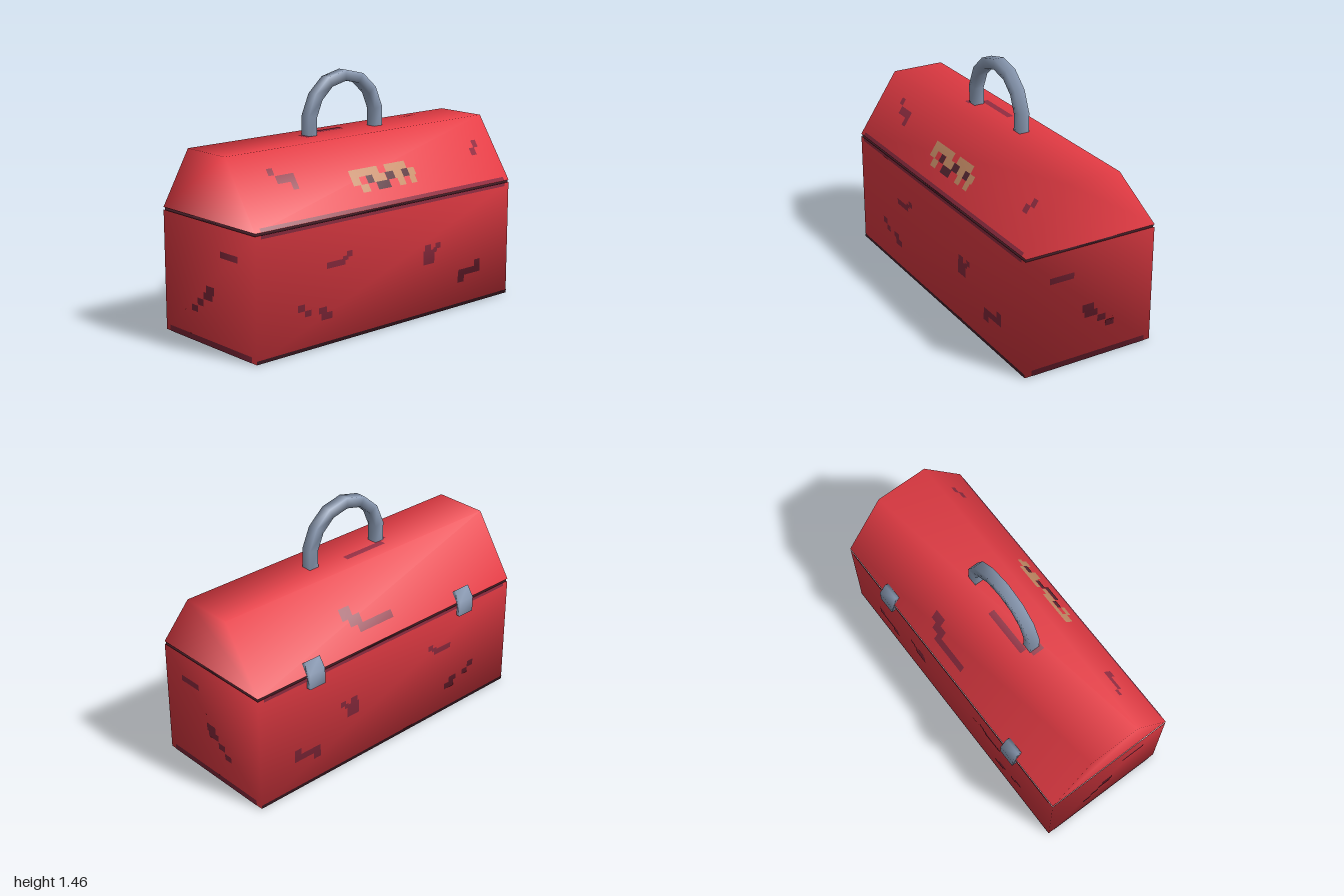
import * as THREE from 'three';
import { mergeGeometries, mergeVertices } from 'three/addons/utils/BufferGeometryUtils.js';

const material = (name, color) => {
  const m = new THREE.MeshStandardMaterial({ color });
  m.name = name;
  return m;
};

const V = (x, y, z) => new THREE.Vector3(x, y, z);

// Extrudes a [z, y] profile along x with smooth normals; the side lying at openY is left open
function prism(profile, width, openY) {
  const shape = new THREE.Shape(profile.map(([z, y]) => new THREE.Vector2(-z, y)));
  let g = new THREE.ExtrudeGeometry(shape, { depth: width, bevelEnabled: false });
  g.translate(0, 0, -width / 2).rotateY(Math.PI / 2);
  g.deleteAttribute('uv');
  g.deleteAttribute('normal');
  g = mergeVertices(g);
  const kept = [];
  for (let i = 0; i < g.index.count; i += 3) {
    const tri = [0, 1, 2].map((k) => g.index.getX(i + k));
    const open = tri.every((v) => Math.abs(g.attributes.position.getY(v) - openY) < 1e-4);
    if (!open) kept.push(...tri);
  }
  g.setIndex(kept);
  g.computeVertexNormals();
  return g;
}

// Polyline path with corners on the tube rings and the section turned to sit square
class Polyline extends THREE.Curve {
  constructor(points) { super(); this.points = points; }
  getPoint(t) {
    const s = t * (this.points.length - 1);
    const i = Math.min(Math.floor(s), this.points.length - 2);
    return this.points[i].clone().lerp(this.points[i + 1], s - i);
  }
  getPointAt(t) { return this.getPoint(t); }
  getTangentAt(t) { return this.getTangent(t); }
  computeFrenetFrames(segments, closed) {
    const frames = super.computeFrenetFrames(segments, closed);
    frames.tangents.forEach((t, i) => {
      frames.normals[i].applyAxisAngle(t, Math.PI / 4);
      frames.binormals[i].applyAxisAngle(t, Math.PI / 4);
    });
    return frames;
  }
}

// Faces that carry paint: origin, u axis, v axis, normal
const slope = 0.25 / 0.375;
const faces = {
  front: [V(0, 0, 0.43), V(1, 0, 0), V(0, 1, 0), V(0, 0, 1)],
  back: [V(0, 0, -0.4), V(-1, 0, 0), V(0, 1, 0), V(0, 0, -1)],
  right: [V(1, 0, 0), V(0, 0, -1), V(0, 1, 0), V(1, 0, 0)],
  left: [V(-1, 0, 0), V(0, 0, 1), V(0, 1, 0), V(-1, 0, 0)],
  top: [V(0, 1.1, 0), V(1, 0, 0), V(0, 0, -1), V(0, 1, 0)],
  bottom: [V(0, 0, 0), V(1, 0, 0), V(0, 0, 1), V(0, -1, 0)],
  lidFront: [V(0, 0, 0.43 + 0.725 * slope), V(1, 0, 0), V(0, 1, -slope), V(0, slope, 1).normalize()],
  lidBack: [V(0, 0, -0.4 - 0.725 * slope), V(-1, 0, 0), V(0, 1, slope), V(0, slope, -1).normalize()],
};

// Thin rectangles [u0, v0, u1, v1] laid on a face, taking the smooth normals of the mesh beneath
function paint(base, face, rects, lift = 0.002) {
  const [origin, u, v, n] = faces[face];
  const matrix = new THREE.Matrix4().makeBasis(u, v, n)
    .setPosition(origin.clone().addScaledVector(n, lift));
  const g = mergeGeometries(rects.map(([a, b, c, d]) =>
    new THREE.PlaneGeometry(c - a, d - b, Math.ceil((c - a) * 6), Math.ceil((d - b) * 6))
      .translate((a + c) / 2, (b + d) / 2, 0).applyMatrix4(matrix)));
  const ray = new THREE.Raycaster();
  const centre = V(0, 0.5, 0.015), down = n.clone().negate(), p = V(0, 0, 0);
  for (let i = 0; i < g.attributes.position.count; i++) {
    p.fromBufferAttribute(g.attributes.position, i).lerp(centre, 0.003).addScaledVector(n, 0.1);
    ray.set(p, down);
    const hit = ray.intersectObject(base)[0];
    if (hit) g.attributes.normal.setXYZ(i, hit.normal.x, hit.normal.y, hit.normal.z);
  }
  return g;
}

const flip = (rects) => rects.map(([a, b, c, d]) => [-c, b, -a, d]);

export function createModel() {
  const red = material('red paint', 0xe43b44);
  const maroon = material('maroon wear', 0x902d41);
  const dark = material('dark seam', 0x552632);
  const tan = material('tan paint', 0xc68c66);
  const lightTan = material('light tan paint', 0xdca070);
  const steel = material('steel', 0x8b9bb4);
  const yellow = material('yellow paint', 0xe6bc38);
  const orange = material('orange paint', 0xe08048);

  const model = new THREE.Group();
  model.name = 'toolbox';
  const add = (name, geometry, mat) => {
    const mesh = new THREE.Mesh(geometry, mat);
    mesh.name = name;
    model.add(mesh);
    return mesh;
  };

  // Box, seam and sloped lid
  const body = add('body', prism([[0.43, 0], [0.43, 0.71], [-0.4, 0.71], [-0.4, 0]], 2, 0.71), red);
  add('seam', prism([[0.425, 0.7], [0.425, 0.73], [-0.395, 0.73], [-0.395, 0.7]], 1.99), dark);
  const lid = add('lid', prism([[0.43, 0.725], [0.18, 1.1], [-0.15, 1.1], [-0.4, 0.725]], 2, 0.725), red);

  // Arched carrying handle
  const half = [[0.257, 1.08], [0.257, 1.21], [0.21, 1.32], [0.12, 1.4]];
  const arch = [
    ...half.map(([x, y]) => V(-x, y, 0.008)),
    V(0, 1.428, 0.008),
    ...half.map(([x, y]) => V(x, y, 0.008)).reverse(),
  ];
  add('handle', new THREE.TubeGeometry(new Polyline(arch), arch.length - 1, 0.045, 4), steel);

  // Rear hinges
  const hinge = prism([[-0.36, 0.785], [-0.383, 0.805], [-0.427, 0.74],
    [-0.427, 0.645], [-0.4, 0.645], [-0.395, 0.73]], 0.11);
  for (const x of [-0.6, 0.595]) add('hinge', hinge, steel).position.x = x;

  // Worn patches shared by front and back
  const bodyWear = [
    [-0.96, 0.69, 0.96, 0.71],
    [-0.5, 0.44, -0.36, 0.475], [-0.38, 0.465, -0.34, 0.49], [-0.35, 0.48, -0.31, 0.515],
    [0.26, 0.315, 0.35, 0.4], [0.27, 0.4, 0.32, 0.435], [0.36, 0.4, 0.4, 0.435],
    [0.34, 0.38, 0.37, 0.41],
    [-0.71, 0.23, -0.66, 0.27], [-0.66, 0.195, -0.615, 0.23],
    [-0.56, 0.19, -0.5, 0.225], [-0.54, 0.15, -0.46, 0.19],
    [0.555, 0.15, 0.61, 0.19], [0.56, 0.19, 0.75, 0.23], [0.7, 0.23, 0.75, 0.27],
  ];
  add('frontWear', paint(body, 'front', bodyWear), maroon);
  add('backWear', paint(body, 'back', flip(bodyWear)), maroon);
  for (const face of ['front', 'back']) add('baseStripe', paint(body, face, [[-1, 0, 1, 0.02]]), dark);

  // Worn patches shared by both ends
  const endWear = [
    [-0.39, 0, 0.36, 0.035], [-0.28, 0.533, -0.125, 0.57],
    [-0.065, 0.3, 0.01, 0.348], [-0.05, 0.265, 0.035, 0.305],
    [0.035, 0.22, 0.09, 0.26], [0.09, 0.175, 0.145, 0.212],
  ];
  add('rightWear', paint(body, 'right', endWear), maroon);
  add('leftWear', paint(body, 'left', flip(endWear)), maroon);

  // Lid patches
  add('lidFrontWear', paint(lid, 'lidFront', [
    [-0.96, 0.727, 0.96, 0.745],
    [-0.77, 0.975, -0.73, 1.01], [-0.73, 0.93, -0.6, 0.97], [-0.64, 0.89, -0.6, 0.93],
    [0.78, 0.89, 0.825, 0.93], [0.82, 0.93, 0.86, 0.97],
  ]), maroon);
  add('lidBackWear', paint(lid, 'lidBack', flip([
    [-0.06, 0.8, 0.2, 0.84], [0.16, 0.84, 0.25, 0.89], [0.21, 0.88, 0.29, 0.94],
  ])), maroon);
  add('lidTopWear', paint(lid, 'top', [
    [-0.26, 0.03, 0.04, 0.07], [-0.315, -0.055, -0.27, 0.02],
  ]), maroon);

  // Faded patch on the front of the lid
  add('fadedPatch', paint(lid, 'lidFront', [
    [-0.22, 0.85, -0.16, 0.93], [-0.16, 0.89, 0, 0.93], [-0.17, 0.81, -0.11, 0.85],
    [-0.06, 0.85, 0.04, 0.89], [0.055, 0.89, 0.22, 0.93], [0.1, 0.85, 0.275, 0.89],
    [0.12, 0.81, 0.17, 0.85], [0.215, 0.81, 0.26, 0.85],
  ]), tan);
  add('fadedPatchSpots', paint(lid, 'lidFront', [
    [-0.11, 0.85, -0.06, 0.89], [-0.05, 0.81, 0.05, 0.85],
    [0.04, 0.85, 0.105, 0.89], [0.17, 0.85, 0.22, 0.89],
  ], 0.004), dark);

  // Painted underside: framed tiles, a large panel, a blue panel and a splash
  const tiles = [[0.77, 0.98], [0.53, 0.75], [0.41, 0.51], [0.29, 0.39]];
  add('undersideTan', paint(body, 'bottom', [
    ...tiles.map(([a, b]) => [a, -0.38, b, -0.2]), [-1, -0.385, -0.17, 0.1],
  ]), lightTan);
  add('undersideTileCentres', paint(body, 'bottom',
    tiles.map(([a, b]) => [a + 0.025, -0.355, b - 0.025, -0.225]), 0.004), tan);
  add('undersideBlue', paint(body, 'bottom', [[-0.165, -0.385, 0.275, -0.2]]), steel);
  add('undersideBlueSpots', paint(body, 'bottom', [
    [-0.37, -0.02, -0.31, 0.03], [-0.36, -0.32, -0.32, -0.28],
  ], 0.004), steel);
  add('undersideOrange', paint(body, 'bottom', [
    [-0.09, -0.32, 0.01, -0.25], [0.01, -0.29, 0.05, -0.23], [-0.12, -0.28, -0.09, -0.23],
  ], 0.004), orange);
  const splash = [[0.59, 0.03, 0.67, 0.09]];
  for (const [x, z] of [[0.86, 0.08], [0.36, 0.1], [0.69, 0.24], [0.56, -0.08]]) {
    for (const t of [0.3, 0.55, 0.8, 1]) {
      const cx = 0.63 + (x - 0.63) * t, cz = 0.06 + (z - 0.06) * t;
      splash.push([cx - 0.035, cz - 0.02, cx + 0.035, cz + 0.02]);
    }
  }
  add('undersideSplash', paint(body, 'bottom', splash), yellow);
  add('undersideSplashSpots', paint(body, 'bottom', [
    [0.61, 0.05, 0.65, 0.08], [0.5, 0.0, 0.54, 0.03], [0.72, 0.11, 0.76, 0.14],
  ], 0.004), dark);
  add('undersideEndEdge', paint(body, 'bottom', [[0.98, -0.36, 1, 0.39]]), maroon);
  add('undersideBackEdge', paint(body, 'bottom', [[-1, -0.4, 1, -0.388]]), dark);

  return model;
}
